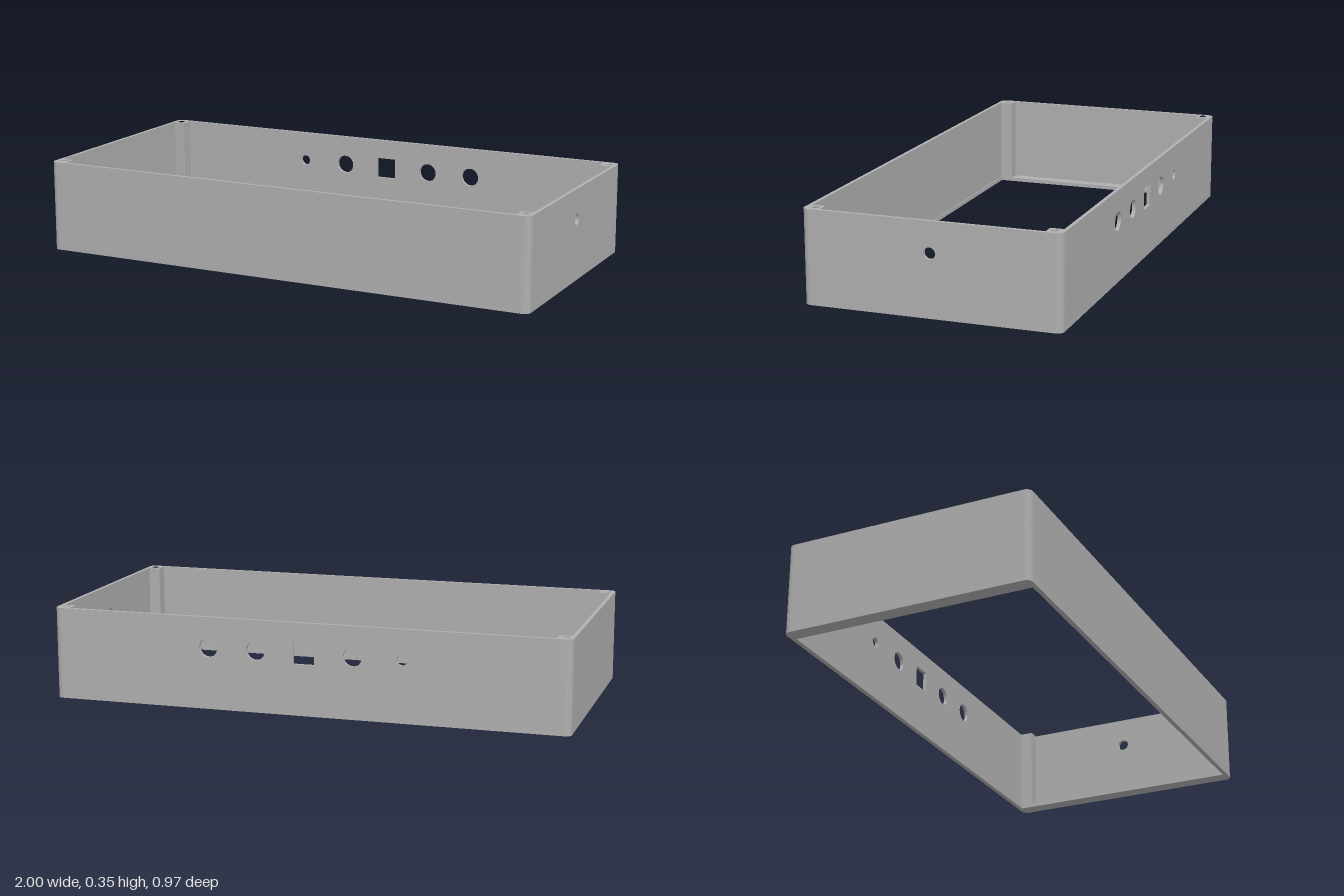
import * as THREE from 'three';
import { toCreasedNormals } from 'three/addons/utils/BufferGeometryUtils.js';

const W = 1, D = 0.485, H = 0.353;      // half width, half depth, height
const T = 0.014, BASE = 0.015, R = 0.025; // wall, ledge thickness, corner radius
const PX = 0.94, PZ = 0.42;             // inner limits of the corner posts
const HOLE_Y = 0.236;

export function createModel() {
  const group = new THREE.Group();
  const grey = new THREE.MeshStandardMaterial({ color: 0xb0b0b0 });
  grey.name = 'plain grey';

  const add = (name, geometry) => {
    const mesh = new THREE.Mesh(toCreasedNormals(geometry, 0.6), grey);
    mesh.name = name;
    group.add(mesh);
    return mesh;
  };
  const extrude = (shape, depth) =>
    new THREE.ExtrudeGeometry(shape, { depth, bevelEnabled: false, curveSegments: 16 });
  // Extrudes a plan outline upwards from y0 to y1
  const raise = (shape, y0, y1) => extrude(shape, y1 - y0).rotateX(-Math.PI / 2).translate(0, y0, 0);
  const rect = (path, x0, y0, x1, y1) => {
    path.moveTo(x0, y0); path.lineTo(x1, y0); path.lineTo(x1, y1); path.lineTo(x0, y1); path.closePath();
    return path;
  };
  const circle = (x, y, r) => new THREE.Path().absarc(x, y, r, 0, Math.PI * 2, true);

  // Rounded bottom frame whose opening leaves wide ledges at the short ends
  const frame = new THREE.Shape();
  frame.absarc(W - R, D - R, R, 0, Math.PI / 2);
  frame.absarc(-W + R, D - R, R, Math.PI / 2, Math.PI);
  frame.absarc(-W + R, -D + R, R, Math.PI, Math.PI * 1.5);
  frame.absarc(W - R, -D + R, R, Math.PI * 1.5, Math.PI * 2);
  frame.holes.push(rect(new THREE.Path(), -PX, -0.467, PX, 0.467));
  add('bottomLedge', raise(frame, 0, BASE));

  // Corner posts, rounded outside, with a blind screw hole in the top
  const post = (sx, sz) => {
    const s = new THREE.Shape(), k = R * 0.448;
    s.moveTo(sx * PX, sz * PZ);
    s.lineTo(sx * W, sz * PZ);
    s.lineTo(sx * W, sz * (D - R));
    s.bezierCurveTo(sx * W, sz * (D - k), sx * (W - k), sz * D, sx * (W - R), sz * D);
    s.lineTo(sx * PX, sz * D);
    s.closePath();
    return s;
  };
  const blind = H - 0.12;
  for (const sx of [-1, 1]) for (const sz of [-1, 1]) {
    add('cornerPostLower', raise(post(sx, sz), BASE, blind));
    const upper = post(sx, sz);
    upper.holes.push(circle(sx * 0.968, sz * 0.445, 0.014));
    add('cornerPostUpper', raise(upper, blind, H));
  }

  // Upright wall panels between the posts
  const wall = (half, holes) => {
    const s = rect(new THREE.Shape(), -half, BASE, half, H);
    s.holes.push(...holes);
    return extrude(s, T);
  };
  add('frontWall', wall(PX, [])).position.z = D - T;
  add('backWall', wall(PX, [
    circle(0.375, HOLE_Y, 0.036),
    circle(0.1875, HOLE_Y, 0.036),
    rect(new THREE.Path(), -0.041, HOLE_Y - 0.041, 0.041, HOLE_Y + 0.041),
    circle(-0.1875, HOLE_Y, 0.036),
    circle(-0.375, HOLE_Y, 0.02),
  ])).position.z = -D;
  add('leftWall', wall(PZ, [circle(0, HOLE_Y, 0.022)]).rotateY(Math.PI / 2)).position.x = W - T;
  add('rightWall', wall(PZ, []).rotateY(Math.PI / 2)).position.x = -W;

  return group;
}
